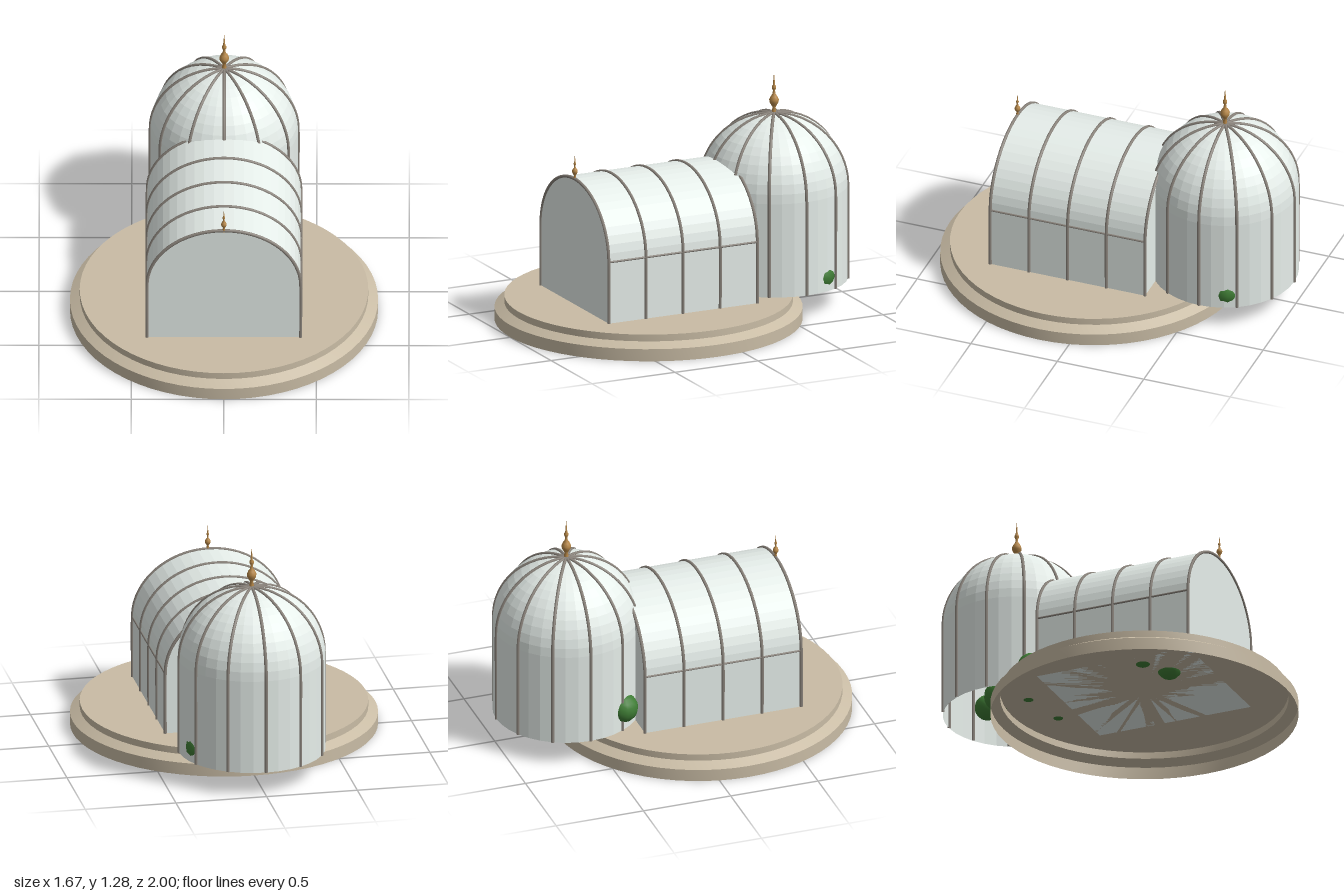
import * as THREE from 'three';
import { toCreasedNormals } from 'three/addons/utils/BufferGeometryUtils.js';

const FLOOR = 0.135, DOME_Z = -0.59, DOME_R = 0.4, SPRING = 0.66;
const HALL_W = 0.415, EAVE = 0.48, RISE = 0.362, HALL_FRONT = 0.61, HALL_BACK = -0.285;

const paint = (color, opts = {}) => new THREE.MeshStandardMaterial({ color, ...opts });
const stone = paint(0xc9bca5, { side: THREE.DoubleSide });
const glass = paint(0xe6eeea, { side: THREE.DoubleSide, flatShading: true });
const metal = paint(0x8c857d);
const brass = paint(0xb8894a);
const leaf = paint(0x3f7d35);

const v2 = (p) => new THREE.Vector2(p[0], p[1]);

function add(parent, name, geometry, material, x = 0, y = 0, z = 0) {
  const mesh = new THREE.Mesh(geometry, material);
  mesh.name = name;
  mesh.position.set(x, y, z);
  parent.add(mesh);
  return mesh;
}

// Tube that follows a list of Vector3 points
function bar(points, radius = 0.009, segments = 40) {
  return new THREE.TubeGeometry(new THREE.CatmullRomCurve3(points), segments, radius, 6, false);
}

// Turned spike with two beads
function finial(parent, name, y, z, s) {
  const profile = [[0.012, -0.01], [0.012, 0.015], [0.008, 0.03], [0.016, 0.045], [0.025, 0.06],
    [0.026, 0.075], [0.019, 0.092], [0.009, 0.105], [0.006, 0.125], [0.012, 0.137], [0.012, 0.147],
    [0.006, 0.158], [0.004, 0.185], [0, 0.225]].map(v2);
  const mesh = add(parent, name, new THREE.LatheGeometry(profile, 12), brass, 0, y, z);
  mesh.scale.setScalar(s);
}

// Outline of the hall: upright walls with a low vault
function hallProfile(n = 24) {
  const pts = [[HALL_W, FLOOR]];
  for (let i = 0; i <= n; i++) {
    const a = (i / n) * Math.PI;
    pts.push([HALL_W * Math.cos(a), EAVE + RISE * Math.sin(a)]);
  }
  pts.push([-HALL_W, FLOOR]);
  return pts.map(v2);
}

function buildHall() {
  const hall = new THREE.Group();
  hall.name = 'hall';
  const shape = new THREE.Shape(hallProfile());
  const shell = new THREE.ExtrudeGeometry(shape, { depth: HALL_FRONT - HALL_BACK, bevelEnabled: false });
  add(hall, 'vaultedGlass', shell, glass, 0, 0, HALL_BACK);

  // Arched ribs
  const outline = hallProfile(20);
  for (let i = 0; i < 5; i++) {
    const z = HALL_BACK + (HALL_FRONT - HALL_BACK) * i / 4;
    add(hall, 'hallRib', bar(outline.map((p) => new THREE.Vector3(p.x, p.y, z)), 0.009, 64), metal);
  }
  // Eave rails
  for (const side of [-1, 1]) {
    const rail = new THREE.CylinderGeometry(0.006, 0.006, HALL_FRONT - HALL_BACK, 6).rotateX(Math.PI / 2);
    add(hall, 'eaveRail', rail, metal, side * HALL_W, EAVE, (HALL_FRONT + HALL_BACK) / 2);
  }
  finial(hall, 'hallFinial', EAVE + RISE, HALL_FRONT, 0.6);
  return hall;
}

function buildRotunda() {
  const rotunda = new THREE.Group();
  rotunda.name = 'rotunda';
  rotunda.position.z = DOME_Z;

  // Drum and dome, open underneath
  const profile = [[DOME_R, FLOOR]];
  for (let i = 0; i <= 12; i++) {
    const a = (i / 12) * Math.PI / 2;
    profile.push([Math.max(0, DOME_R * Math.cos(a)), SPRING + DOME_R * Math.sin(a)]);
  }
  add(rotunda, 'domeGlass', new THREE.LatheGeometry(profile.map(v2), 36), glass);

  const ribPath = profile.map((p) => new THREE.Vector3(p[0], p[1], 0));
  ribPath.splice(1, 0, new THREE.Vector3(DOME_R, 0.4, 0));
  const ribGeometry = bar(ribPath);
  for (let i = 0; i < 12; i++) {
    add(rotunda, 'domeRib', ribGeometry, metal).rotation.y = i * Math.PI / 6;
  }
  finial(rotunda, 'domeFinial', SPRING + DOME_R, 0, 1);
  return rotunda;
}

function buildPlants() {
  const plants = new THREE.Group();
  plants.name = 'plants';
  // x, y, z, radius
  const bushes = [
    [0.297, 0.21, -0.71, 0.09], [-0.3, 0.25, -0.37, 0.082],
    [-0.116, 0.21, -0.64, 0.085], [0.012, 0.22, -0.645, 0.065], [0.18, 0.22, -0.655, 0.075],
    [0.26, 0.22, -0.555, 0.08], [0.028, 0.21, -0.496, 0.075], [-0.157, 0.21, -0.45, 0.08],
    [0.124, 0.21, -0.4, 0.08], [-0.03, 0.2, -0.75, 0.07],
    [-0.17, 0.165, 0.39, 0.07], [-0.32, 0.18, 0.3, 0.06],
  ];
  for (const [x, y, z, r] of bushes) {
    add(plants, 'bush', new THREE.SphereGeometry(r, 14, 10), leaf, x, y, z);
  }
  return plants;
}

export function createModel() {
  const model = new THREE.Group();
  model.name = 'glasshouse';

  // Round stepped plinth, hollow underneath
  const profile = [[0.833, 0], [0.833, 0.068], [0.78, 0.097], [0.78, FLOOR], [0, FLOOR]].map(v2);
  add(model, 'plinth', toCreasedNormals(new THREE.LatheGeometry(profile, 64), 0.4), stone, 0, 0, 0.166);

  model.add(buildHall(), buildRotunda(), buildPlants());
  return model;
}
